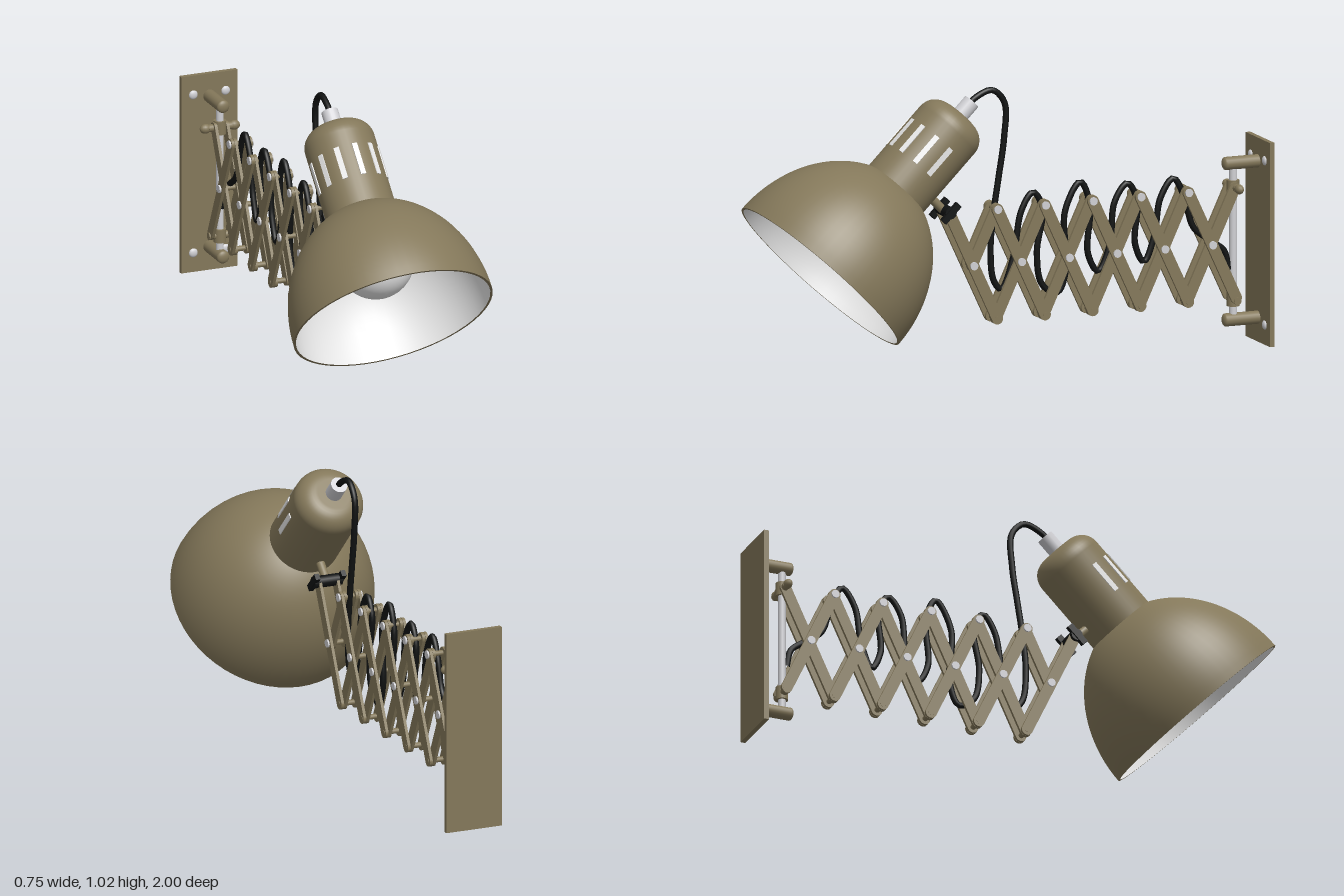
import * as THREE from 'three';

export function createModel() {
  const root = new THREE.Group();
  const mat = (name, color, side = THREE.FrontSide) => {
    const m = new THREE.MeshStandardMaterial({ color, side });
    m.name = name;
    return m;
  };
  const paint = mat('khaki paint', 0x84785a);
  const white = mat('white enamel', 0xececec);
  const steel = mat('light steel', 0xd0d0d4);
  const black = mat('black rubber', 0x101212);

  const add = (parent, name, geo, material, x = 0, y = 0, z = 0) => {
    const m = new THREE.Mesh(geo, material);
    m.name = name;
    m.position.set(x, y, z);
    parent.add(m);
    return m;
  };
  const cyl = (r, len, axis = 'y', seg = 20) => {
    const g = new THREE.CylinderGeometry(r, r, len, seg);
    if (axis === 'x') g.rotateZ(Math.PI / 2);
    if (axis === 'z') g.rotateX(Math.PI / 2);
    return g;
  };

  // ---- Lamp head, built along its own axis and tilted 45 degrees ----
  const head = new THREE.Group();
  head.name = 'lampHead';
  head.position.set(0, 0.38, 0.735);
  head.rotation.x = -Math.PI / 4;
  root.add(head);

  const dome = (a, b) => Array.from({ length: 25 }, (_, i) => {
    const t = (i / 24) * Math.PI / 2;
    return new THREE.Vector2(Math.max(0, a * Math.cos(t)), b * Math.sin(t));
  });
  add(head, 'shadeOuter', new THREE.LatheGeometry(dome(0.373, 0.448), 56), paint);
  add(head, 'shadeInner', new THREE.LatheGeometry(dome(0.364, 0.438).reverse(), 56), white);
  add(head, 'shadeRim', new THREE.RingGeometry(0.364, 0.373, 56).rotateX(Math.PI / 2), paint);

  // Socket housing with a rounded top edge
  const cap = [new THREE.Vector2(0.13, 0.39)];
  for (let i = 0; i <= 10; i++) {
    const t = (i / 10) * Math.PI / 2;
    cap.push(new THREE.Vector2(0.06 + 0.07 * Math.cos(t), 0.705 + 0.07 * Math.sin(t)));
  }
  cap.push(new THREE.Vector2(0, 0.775));
  add(head, 'socketHousing', new THREE.LatheGeometry(cap, 40), paint);

  // Ventilation slots around the upper front of the housing
  for (let i = -3; i <= 3; i++) {
    const a = (i * Math.PI) / 6;
    const slot = add(head, 'ventSlot', new THREE.BoxGeometry(0.02, 0.125, 0.008), white,
      0.129 * Math.sin(a), 0.583, 0.129 * Math.cos(a));
    slot.rotation.y = a;
  }
  add(head, 'cableGland', cyl(0.031, 0.07), steel, 0, 0.805, 0);
  add(head, 'bulb', new THREE.SphereGeometry(0.14, 36, 24), white, 0, 0.233, 0);
  add(head, 'bulbNeck', cyl(0.06, 0.12), white, 0, 0.38, 0);

  // ---- Scissor arm ----
  const arm = new THREE.Group();
  arm.name = 'scissorArm';
  root.add(arm);
  const STEP = 0.1875, Z0 = 0.056, TOP = 0.578, MID = 0.378, LOW = 0.176;
  const node = (i) => Z0 - i * STEP;

  // Flat bar with rounded ends from (z1, y1) to (z2, y2), on both sides
  const bar = (z1, y1, z2, y2, offset) => {
    const a = Math.atan2(y2 - y1, z2 - z1), w = 0.021, d = 0.011;
    const s = new THREE.Shape();
    s.absarc(z1, y1, w, a + Math.PI / 2, a + Math.PI * 1.5, false);
    s.absarc(z2, y2, w, a - Math.PI / 2, a + Math.PI / 2, false);
    const geo = new THREE.ExtrudeGeometry(s, { depth: d, bevelEnabled: false, curveSegments: 8 });
    geo.translate(0, 0, -d / 2).rotateY(-Math.PI / 2);
    for (const side of [-1, 1]) add(arm, 'scissorBar', geo, paint, side * offset, 0, 0);
  };
  for (let i = -1; i <= 4; i++) bar(node(i), TOP, node(i + 1), LOW, 0.035);
  for (let i = 0; i <= 4; i++) bar(node(i), LOW, node(i + 1), TOP, 0.023);
  bar(node(-0.5), MID, node(0), TOP, 0.023);

  // Pivot pins: rivet heads on the top and middle rows
  const pivot = (z, y, headed) => {
    add(arm, 'pivotPin', cyl(0.01, 0.084, 'x', 12), paint, 0, y, z);
    if (!headed) return;
    for (const side of [-1, 1])
      add(arm, 'rivetHead', cyl(0.015, 0.008, 'x', 14), steel, side * 0.043, y, z);
  };
  for (let i = 0; i <= 4; i++) {
    pivot(node(i), TOP, true);
    pivot(node(i), LOW, false);
  }
  for (let i = 0; i <= 5; i++) pivot(node(i - 0.5), MID, true);

  // ---- Tilt joint between arm and head ----
  const joint = new THREE.Group();
  joint.name = 'tiltJoint';
  joint.position.set(0, 0.582, 0.245);
  root.add(joint);
  add(joint, 'jointArm', cyl(0.016, 0.15), paint, 0, 0.05, 0.055).rotation.x = Math.PI / 4;
  add(joint, 'jointKnob', cyl(0.022, 0.11, 'x'), black);
  for (const side of [-1, 1]) {
    const wing = add(joint, 'knobWing', new THREE.BoxGeometry(0.018, 0.085, 0.024), black, side * 0.052, 0, 0);
    wing.rotation.x = -Math.PI / 4;
  }

  // ---- Wall mount ----
  const mount = new THREE.Group();
  mount.name = 'wallMount';
  root.add(mount);
  add(mount, 'wallPlate', new THREE.BoxGeometry(0.22, 0.75, 0.018), paint, 0, 0.375, -0.991);
  for (const y of [0.09, 0.665]) {
    add(mount, 'standoff', cyl(0.024, 0.13, 'z'), paint, 0, y, -0.92);
    const end = add(mount, 'standoffEnd', new THREE.SphereGeometry(0.024, 20, 12), paint, 0, y, -0.855);
    end.scale.z = 0.5;
  }
  for (const y of [0.073, 0.677]) for (const x of [-0.063, 0.063]) {
    const screw = add(mount, 'plateScrew', new THREE.SphereGeometry(0.017, 16, 10), steel, x, y, -0.982);
    screw.scale.z = 0.5;
  }
  add(mount, 'slideRod', cyl(0.014, 0.575), steel, 0, 0.378, -0.885);
  for (const y of [0.165, 0.578]) {
    add(mount, 'slideCollar', cyl(0.023, 0.05), paint, 0, y, -0.885);
    add(mount, 'collarPin', cyl(0.014, 0.09, 'x'), paint, 0, y, -0.885);
  }
  // Wing screw that locks the upper collar
  for (const side of [-1, 1]) {
    const wing = add(mount, 'wingScrew', new THREE.SphereGeometry(0.02, 14, 10), paint, side * 0.056, 0.578, -0.885);
    wing.scale.set(1.1, 0.9, 0.8);
  }

  // ---- Cable winding through the arm, as (z, y) points ----
  const path = [
    [0.165, 0.95], [0.13, 0.985], [0.06, 1.01], [0.012, 0.96], [0.014, 0.83], [0.035, 0.69],
    [0.055, 0.56], [0.067, 0.43], [0.055, 0.31], [0.025, 0.275], [-0.02, 0.38], [-0.055, 0.56],
    [-0.1, 0.622], [-0.137, 0.56], [-0.115, 0.4], [-0.135, 0.28], [-0.195, 0.245], [-0.23, 0.33],
    [-0.225, 0.54], [-0.285, 0.645], [-0.323, 0.56], [-0.315, 0.38], [-0.355, 0.31], [-0.4, 0.4],
    [-0.42, 0.56], [-0.47, 0.625], [-0.508, 0.56], [-0.5, 0.4], [-0.535, 0.33], [-0.575, 0.42],
    [-0.6, 0.56], [-0.65, 0.628], [-0.692, 0.56], [-0.73, 0.44], [-0.8, 0.385], [-0.85, 0.345], [-0.867, 0.275],
  ];
  const curve = new THREE.CatmullRomCurve3(path.map(([z, y]) => new THREE.Vector3(0, y, z)));
  add(root, 'cable', new THREE.TubeGeometry(curve, 260, 0.0115, 10), black);

  return root;
}
